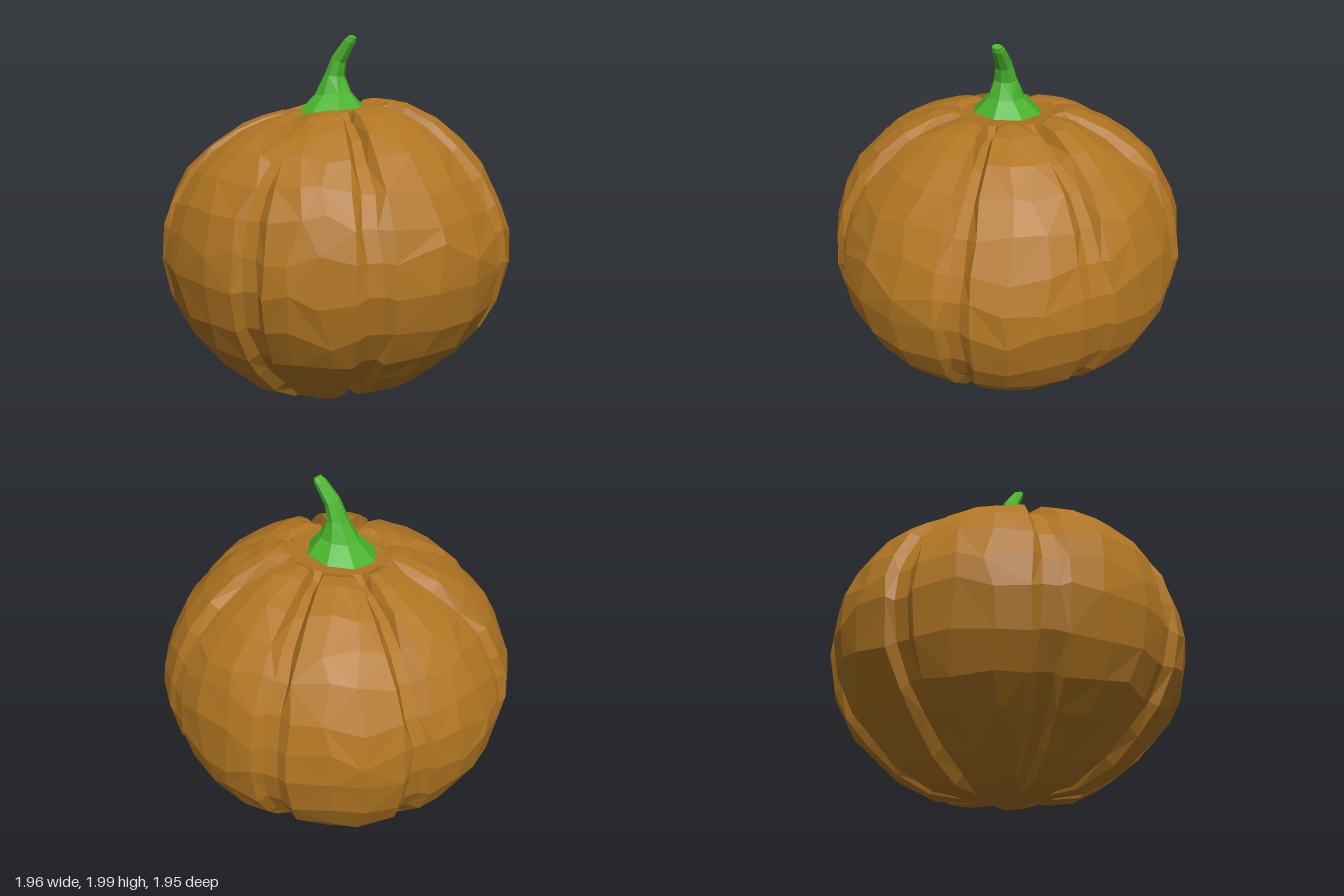
import * as THREE from 'three';

// Seeded random value in -1..1
let seed = 7;
function jitter() {
  seed = (seed * 16807) % 2147483647;
  return (seed / 2147483647) * 2 - 1;
}

// Skin closed rings of points, listed from bottom to top
function loft(rings) {
  const n = rings[0].length;
  const pos = [];
  const tri = (a, b, c) => {
    const area = b.clone().sub(a).cross(c.clone().sub(a)).length();
    if (area > 1e-8) pos.push(...a, ...b, ...c);
  };
  for (let i = 0; i < rings.length - 1; i++) {
    for (let j = 0; j < n; j++) {
      const k = (j + 1) % n;
      const a = rings[i][j], b = rings[i][k], c = rings[i + 1][k], d = rings[i + 1][j];
      if ((i + j) % 2) { tri(a, d, c); tri(a, c, b); }
      else { tri(a, d, b); tri(b, d, c); }
    }
  }
  const geo = new THREE.BufferGeometry();
  geo.setAttribute('position', new THREE.Float32BufferAttribute(pos, 3));
  geo.computeVertexNormals();
  return geo;
}

function part(name, geo, color) {
  const mesh = new THREE.Mesh(geo, new THREE.MeshStandardMaterial({ color, flatShading: true }));
  mesh.name = name;
  return mesh;
}

// Ribbed body: a round profile (radius, height) with eight grooves
function bodyGeometry() {
  const profile = [
    [0, 0.03], [0.24, 0.03], [0.4, 0.052], [0.585, 0.15], [0.735, 0.285], [0.845, 0.41],
    [0.935, 0.59], [0.975, 0.8], [0.958, 0.97], [0.908, 1.125], [0.82, 1.283], [0.7, 1.412],
    [0.55, 1.517], [0.4, 1.584], [0.3, 1.602], [0.25, 1.592], [0, 1.585],
  ];
  // [angle, how far the groove fades at the widest part]
  const grooves = [[-6, 0.4], [48, 0.65], [86, 0.45], [132, 0.75], [177, 0.4], [220, 0.45], [266, 0.4], [309, 1]];
  const last = profile.length - 1;

  const rings = profile.map(([r, y], i) => {
    const ring = [];
    const lo = profile[Math.max(i - 1, 0)], hi = profile[Math.min(i + 1, last)];
    const normal = new THREE.Vector2(hi[1] - lo[1], lo[0] - hi[0]).normalize();
    const rough = i < 2 || i > last - 2 ? 0 : 1;
    const half = 4.5 + 0.9 / Math.max(r, 0.24);

    // out: offset along the profile normal, slide: offset along the profile
    const add = (deg, out, slide) => {
      const t = THREE.MathUtils.degToRad(deg);
      const R = r + (normal.x * out - normal.y * slide) * rough;
      const Y = y + (normal.y * out + normal.x * slide) * rough;
      const x = R * Math.cos(t), z = R * Math.sin(t);
      // top and base lean; the shoulders are fuller at front and back
      const lean = (0.1 * x - 0.05 * z) * (1 - r * r) ** 2;
      const shoulder = y > 1 ? 0.04 * (z * z - x * x) : 0;
      ring.push(new THREE.Vector3(x, Math.max(0, Y + lean + shoulder), z));
    };

    grooves.forEach(([g, fade], k) => {
      const next = k < 7 ? grooves[k + 1][0] : grooves[0][0] + 360;
      const depth = (-0.05 + 0.008 * jitter()) * (1 - fade * r ** 6);
      const shift = jitter() * rough;
      // groove floor, then the lobe from edge to edge
      add(g - half * 0.45 + shift, depth, 0);
      add(g + half * 0.45 + shift, depth, 0);
      const start = g + half, span = next - half - start;
      for (let s = 0; s <= 3; s++) {
        const inner = s === 1 || s === 2;
        const turn = (inner ? 2.5 : 0.8) * jitter() * rough;
        const out = (inner ? 0.011 : 0.002) + 0.005 * jitter();
        add(start + (span * s) / 3 + turn, out, (inner ? 0.06 : 0.025) * r * jitter());
      }
    });
    return ring;
  });
  return loft(rings);
}

// Bent, tapering stem: rings of [centre x, centre y, x radius, z radius, slope]
function stemGeometry() {
  const sections = [
    [-0.02, 1.58, 0, 0, 0],
    [-0.025, 1.59, 0.19, 0.195, 0.1],
    [-0.01, 1.68, 0.108, 0.1, 0.08],
    [0.002, 1.78, 0.054, 0.066, -0.1],
    [0.03, 1.868, 0.036, 0.05, -0.6],
    [0.098, 1.967, 0.028, 0.036, -0.5],
    [0.115, 1.99, 0.018, 0.027, -0.5],
    [0.115, 1.992, 0, 0, 0],
  ];
  return loft(sections.map(([cx, cy, rx, rz, slope]) =>
    Array.from({ length: 8 }, (_, j) => {
      const t = (j / 8) * Math.PI * 2;
      const dx = rx * Math.cos(t);
      return new THREE.Vector3(cx + dx, cy + dx * slope, 0.01 + rz * Math.sin(t));
    })));
}

export function createModel() {
  seed = 7;
  const model = new THREE.Group();
  model.name = 'pumpkin';
  model.add(part('body', bodyGeometry(), 0xb07522));
  model.add(part('stem', stemGeometry(), 0x4ab52e));
  return model;
}
